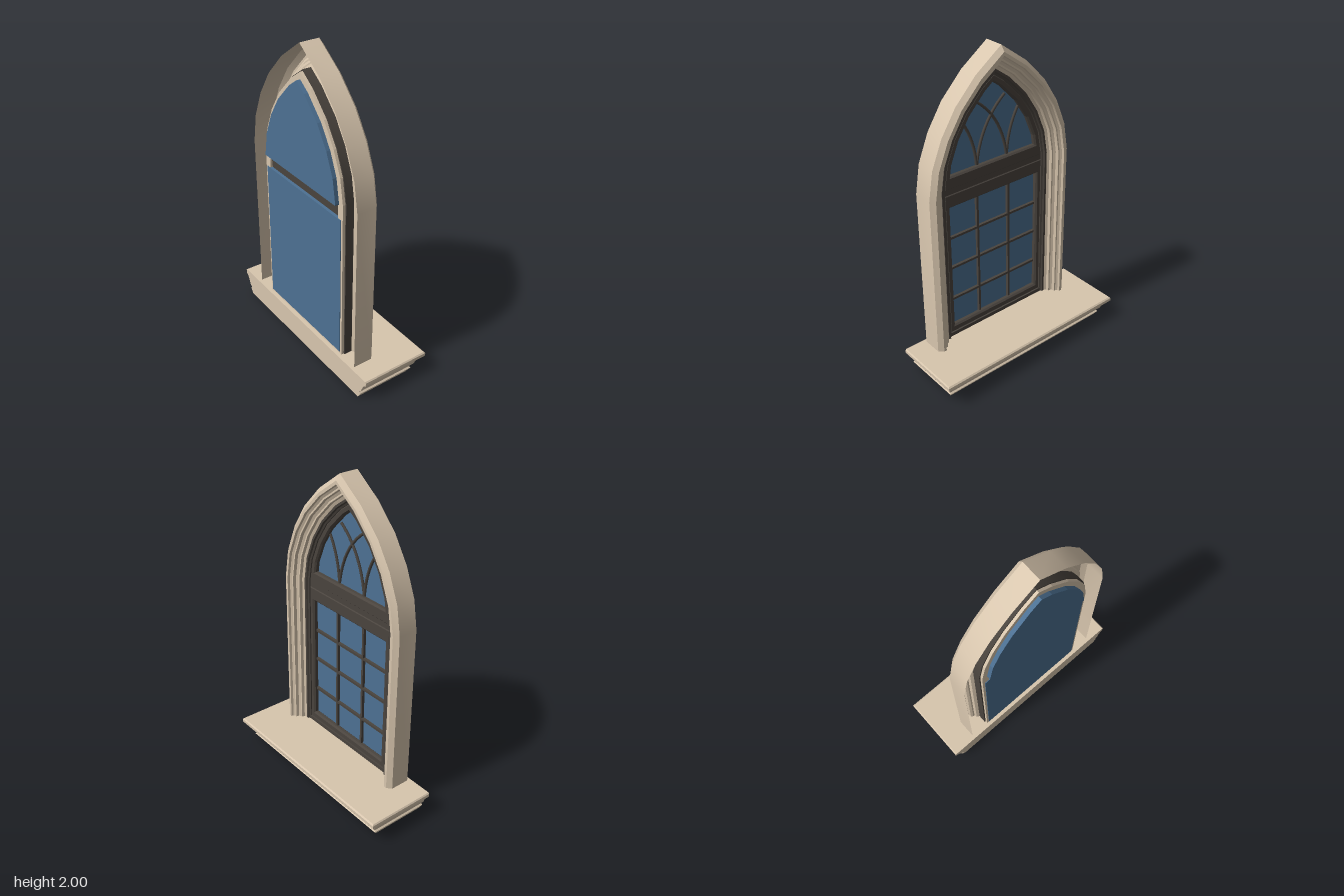
import * as THREE from 'three';
import { toCreasedNormals } from 'three/addons/utils/BufferGeometryUtils.js';

const stone = new THREE.MeshStandardMaterial({ color: 0xd8c6ae });
const stoneOpen = new THREE.MeshStandardMaterial({ color: 0xd8c6ae, side: THREE.DoubleSide });
const wood = new THREE.MeshStandardMaterial({ color: 0x4a443e });
const woodOpen = new THREE.MeshStandardMaterial({ color: 0x4a443e, side: THREE.DoubleSide });
const glass = new THREE.MeshStandardMaterial({ color: 0x4d7193 });

const BASE = 0.16;
// Right half of the pointed arch, foot to apex
const HALF = [[0.52, BASE], [0.52, 1.22], [0.49, 1.4], [0.42, 1.57], [0.32, 1.725], [0.18, 1.87], [0, 2]];

// Arch outline moved inward by d and cut off at height base: right foot, apex, left foot
function arch(d, base = BASE) {
  const p = HALF.map(([x, y]) => new THREE.Vector2(x, y));
  p.push(new THREE.Vector2(-HALF[5][0], HALF[5][1])); // neighbour past the apex
  const normal = (a, b) => new THREE.Vector2(b.y - a.y, a.x - b.x).normalize();
  const moved = HALF.map((_, i) => {
    const n1 = normal(p[i], p[i + 1]);
    const n0 = i ? normal(p[i - 1], p[i]) : n1;
    const m = n0.clone().add(n1).normalize();
    return p[i].clone().addScaledVector(m, -d / m.dot(n1));
  });
  const k = moved.findIndex((q) => q.y > base + 1e-6);
  const a = moved[k - 1], b = moved[k];
  const right = [a.clone().lerp(b, (base - a.y) / (b.y - a.y)), ...moved.slice(k)];
  const left = right.slice(0, -1).reverse().map((q) => new THREE.Vector2(-q.x, q.y));
  return [...right, ...left];
}

// Skin over a list of equally long cross-sections
function loft(sections, closed, crease) {
  const n = sections[0].length, pos = sections.flat(2), idx = [];
  for (let i = 0; i < sections.length - 1; i++) {
    for (let j = 0; j < (closed ? n : n - 1); j++) {
      const k = (j + 1) % n;
      const a = i * n + j, b = i * n + k, c = a + n, d = b + n;
      idx.push(a, b, d, a, d, c);
    }
  }
  const g = new THREE.BufferGeometry();
  g.setAttribute('position', new THREE.Float32BufferAttribute(pos, 3));
  g.setIndex(idx);
  return toCreasedNormals(g, crease);
}

// Moulding: profile of [inset, depth] carried around the arch
const moulding = (profile) =>
  loft(profile.map(([d, z]) => arch(d).map((q) => [q.x, q.y, z])), false, 0.45);

const rect = (h, y0, y1) =>
  [[h, y0], [h, y1], [-h, y1], [-h, y0]].map(([x, y]) => new THREE.Vector2(x, y));

// Flat panel or frame between two depths, optionally with a bevelled front
function panel(outline, hole, z0, z1, bevel = 0) {
  const s = new THREE.Shape(outline);
  if (hole) s.holes.push(new THREE.Path(hole));
  const g = new THREE.ExtrudeGeometry(s, {
    depth: z1 - z0 - 2 * bevel, bevelEnabled: bevel > 0, bevelThickness: bevel,
    bevelSize: bevel, bevelOffset: -bevel, bevelSegments: 1,
  });
  return g.translate(0, 0, z0 + bevel);
}

export function createModel() {
  const model = new THREE.Group();
  model.name = 'archedWindow';
  const body = new THREE.Group(); // built facing +z, then turned to face +x
  body.name = 'body';
  body.rotation.y = Math.PI / 2;
  model.add(body);
  const win = new THREE.Group();
  win.name = 'window';
  win.position.x = -0.013;
  body.add(win);

  const add = (parent, name, geometry, material) => {
    const m = new THREE.Mesh(geometry, material);
    m.name = name;
    parent.add(m);
    return m;
  };
  const box = (name, x, y, z, w, h, d, mat = wood) =>
    add(win, name, new THREE.BoxGeometry(w, h, d), mat).position.set(x, y, z);

  // Sill: moulded on the front and both ends, flat at the back
  const sillProfile = [[0.09, 0], [0.064, 0.036], [0.074, 0.045], [0.074, 0.052], [0.06, 0.06],
    [0.052, 0.068], [0.045, 0.088], [0.034, 0.108], [0.02, 0.124], [0.004, 0.132],
    [0, 0.138], [0, 0.157], [0.008, 0.165]];
  const back = -0.228, front = 0.222;
  const ring = (d, y) => {
    const h = 0.675 - d * 0.8;
    return [[-h, y, back], [-h, y, front - d], [h, y, front - d], [h, y, back]];
  };
  const cap = (y) => Array(4).fill([0, y, 0]);
  add(body, 'sill', loft([cap(0), ...sillProfile.map(([d, y]) => ring(d, y)), cap(0.165)], true, 0.45), stone);

  // Stone surround, stepping inward to the frame, open at the back
  add(win, 'stoneSurround', moulding([[0, -0.205], [0, -0.08], [0.028, -0.055], [0.046, -0.055],
    [0.05, -0.07], [0.062, -0.078], [0.072, -0.078], [0.076, -0.098], [0.09, -0.106],
    [0.1, -0.106], [0.104, -0.125], [0.124, -0.135], [0.124, -0.15]]), stoneOpen);
  add(win, 'stoneBackBand', panel(arch(0.13), arch(0.175, BASE + 0.01), -0.203, -0.186), stone);

  // Fixed wooden frame
  add(win, 'outerFrame', moulding([[0.122, -0.186], [0.122, -0.13], [0.136, -0.13],
    [0.142, -0.14], [0.152, -0.145], [0.152, -0.186], [0.122, -0.186]]), woodOpen);
  box('transom', 0, 1.185, -0.173, 0.76, 0.06, 0.04);
  box('bottomRail', 0, 0.175, -0.165, 0.76, 0.03, 0.045);

  // Lower sash with its grid of bars
  add(win, 'lowerSash', panel(rect(0.372, 0.185, 1.172), rect(0.332, 0.235, 1.08), -0.188, -0.148, 0.01), wood);
  add(win, 'lowerGlass', panel(rect(0.375, 0.18, 1.11), null, -0.207, -0.185), glass);
  for (const x of [-0.12, 0.12]) box('verticalBar', x, 0.657, -0.177, 0.015, 0.86, 0.02);
  for (const y of [0.422, 0.65, 0.862]) box('horizontalBar', 0, y, -0.177, 0.68, 0.015, 0.02);

  // Upper sash with crossing curved bars
  add(win, 'upperSash', panel(arch(0.148, 1.198), arch(0.19, 1.28), -0.188, -0.148, 0.01), wood);
  add(win, 'upperGlass', panel(arch(0.165, 1.2), null, -0.228, -0.185), glass);
  const bars = [[[0.113, 1.27], [0.125, 1.46], [0.22, 1.59]], [[0.113, 1.27], [0.08, 1.53], [-0.1, 1.665]]];
  for (const side of [-1, 1]) {
    for (const bar of bars) {
      const pts = bar.map(([x, y]) => new THREE.Vector3(side * x, y, -0.177));
      add(win, 'traceryBar', new THREE.TubeGeometry(new THREE.QuadraticBezierCurve3(...pts), 12, 0.009, 6), wood);
    }
  }
  return model;
}
